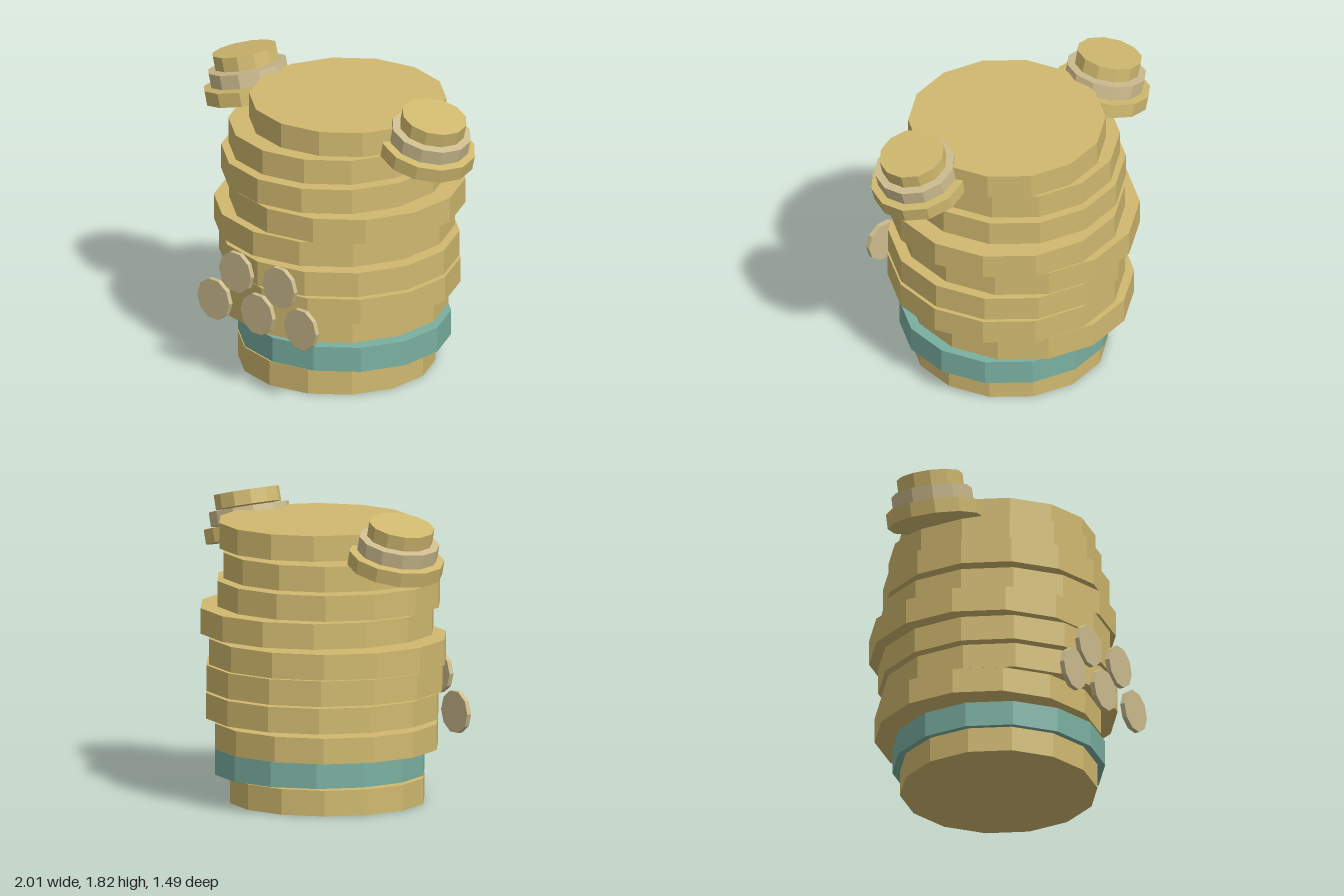
import * as THREE from 'three';

const flat = (name, color) => {
  const m = new THREE.MeshStandardMaterial({ color, flatShading: true });
  m.name = name;
  return m;
};

export function createModel() {
  const gold = flat('gold', 0xd0b96f);
  const teal = flat('teal', 0x7ab0a0);
  const pale = flat('paleGold', 0xcdbc8e);
  const model = new THREE.Group();
  model.name = 'stackedDiscs';

  const disc = (parent, name, material, radius, height, sides, x, y, z, thetaStart = 0) => {
    const geometry = new THREE.CylinderGeometry(radius, radius, height, sides, 1, false, thetaStart);
    const mesh = new THREE.Mesh(geometry, material);
    mesh.name = name;
    mesh.position.set(x, y, z);
    parent.add(mesh);
    return mesh;
  };

  // Body: ten loose slabs, each shifted a little: radius, x, z
  const slabs = [
    [0.592, -0.003, 0.012], [0.638, 0.038, -0.012], [0.678, -0.057, -0.032],
    [0.708, 0.028, 0], [0.72, 0.008, 0.002], [0.722, -0.052, -0.022],
    [0.708, 0.047, -0.025], [0.678, -0.025, 0.008], [0.638, -0.027, 0.002],
    [0.59, 0.048, -0.03],
  ];
  slabs.forEach(([r, x, z], i) => {
    disc(model, `bodySlab${i + 1}`, i === 1 ? teal : gold, r, 0.155, 14, x, 0.0775 + i * 0.171, z);
  });

  // Inner core, seen only through the gaps
  const profile = [[0, 0.42], [0.15, 0.5], [0.44, 0.62], [0.45, 0.9], [0.43, 1.05],
    [0.33, 1.2], [0.3, 1.38], [0, 1.39]].map(([x, y]) => new THREE.Vector2(x, y));
  const core = new THREE.Mesh(new THREE.LatheGeometry(profile, 12), gold);
  core.name = 'innerCore';
  core.scale.z = 0.5;
  model.add(core);

  // Ears: three shrinking discs on a tilted axis, one stack per side
  for (const side of [1, -1]) {
    const ear = new THREE.Group();
    ear.name = side > 0 ? 'leftEar' : 'rightEar';
    ear.position.set(side * 0.737, 1.632, -0.008);
    ear.rotation.z = -side * 0.25;
    [[0.288, gold, 'earBase'], [0.243, pale, 'earMiddle'], [0.198, gold, 'earTop']]
      .forEach(([r, material, name], i) => disc(ear, name, material, r, 0.088, 12, 0, (i - 1) * 0.098, 0));
    model.add(ear);
  }

  // Front tokens in two rows
  [[-0.157, 0.728], [0.193, 0.728], [-0.333, 0.506], [0.018, 0.506], [0.369, 0.506]]
    .forEach(([x, y], i) => {
      const token = disc(model, `frontToken${i + 1}`, pale, 0.13, 0.03, 10, x, y, 0.728, Math.PI / 2);
      token.rotation.x = Math.PI / 2;
    });

  return model;
}
